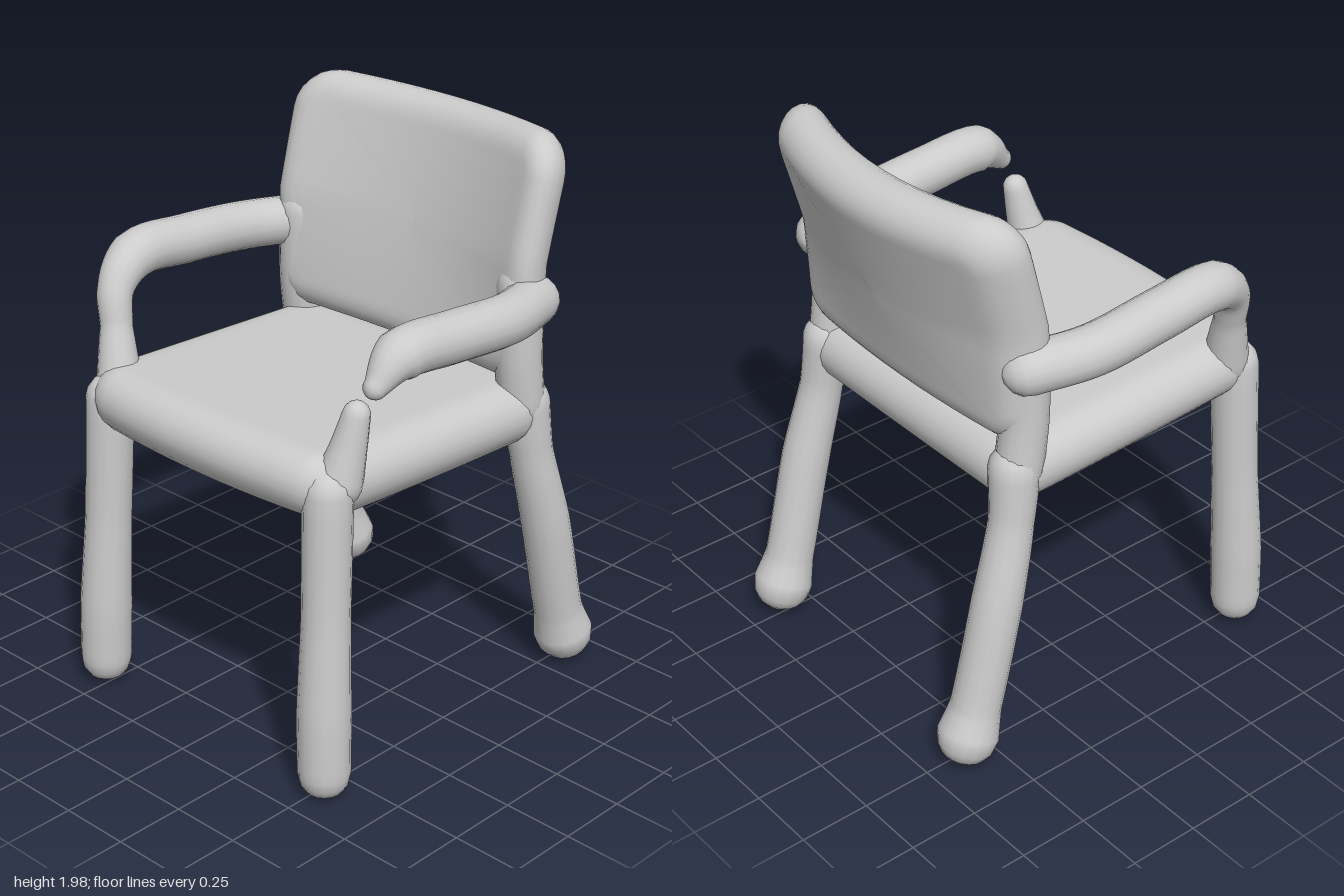
import * as THREE from 'three';

const material = new THREE.MeshStandardMaterial({ color: 0xcccccc });

// Closed skin over a list of rings that all have the same number of points
function skin(name, rings) {
  const n = rings[0].length, index = [];
  for (let i = 0; i < rings.length - 1; i++) {
    for (let j = 0; j < n; j++) {
      const k = (j + 1) % n;
      const a = i * n + j, b = i * n + k, c = a + n, d = b + n;
      index.push(a, b, c, b, d, c);
    }
  }
  const geometry = new THREE.BufferGeometry().setFromPoints(rings.flat());
  geometry.setIndex(index);
  geometry.computeVertexNormals();
  const mesh = new THREE.Mesh(geometry, material);
  mesh.name = name;
  return mesh;
}

// Round limb through points [x, y, z, radius], with domed ends; side mirrors x
function limb(name, side, pts) {
  const curve = new THREE.CatmullRomCurve3(pts.map(p => new THREE.Vector3(side * p[0], p[1], p[2])));
  const radiusAt = t => {
    const f = t * (pts.length - 1), i = Math.min(Math.floor(f), pts.length - 2);
    return THREE.MathUtils.lerp(pts[i][3], pts[i + 1][3], f - i);
  };
  const rings = [];
  const ring = (t, push, scale) => {
    const r = radiusAt(t), tangent = curve.getTangent(t);
    const centre = curve.getPoint(t).addScaledVector(tangent, push * r);
    const n = new THREE.Vector3(1, 0, 0).addScaledVector(tangent, -tangent.x).normalize();
    const b = tangent.clone().cross(n);
    rings.push(Array.from({ length: 16 }, (_, j) => {
      const a = j / 16 * Math.PI * 2;
      return centre.clone().addScaledVector(n, Math.cos(a) * r * scale)
        .addScaledVector(b, Math.sin(a) * r * scale);
    }));
  };
  const domes = [1.57, 1.2, 0.8, 0.4];
  domes.forEach(a => ring(0, -Math.sin(a), Math.cos(a)));
  const steps = (pts.length - 1) * 6;
  for (let i = 0; i <= steps; i++) ring(i / steps, 0, 1);
  domes.reverse().forEach(a => ring(1, Math.sin(a), Math.cos(a)));
  return skin(name, rings);
}

// Cushion-like slab: rounded outline, half-round rim, bent by warp(u, v, depth)
function slab(name, halfU, halfV, corner, rim, warp) {
  const rings = [];
  const ring = (inset, depth, scale) => {
    const U = halfU - inset, V = halfV - inset, c = corner - inset, out = [];
    for (let q = 0; q < 4; q++) {
      const su = q === 0 || q === 3 ? 1 : -1, sv = q < 2 ? 1 : -1;
      const arc = [];
      for (let k = 0; k <= 6; k++) {
        const a = (q + k / 6) * Math.PI / 2;
        arc.push([su * (U - c) + c * Math.cos(a), sv * (V - c) + c * Math.sin(a)]);
      }
      // straight run to the next corner
      const end = arc[6], next = q % 2 === 0 ? [-end[0], end[1]] : [end[0], -end[1]];
      for (let k = 1; k < 10; k++) {
        arc.push([0, 1].map(m => THREE.MathUtils.lerp(end[m], next[m], k / 10)));
      }
      out.push(...arc);
    }
    rings.push(out.map(([u, v]) => warp(u * scale, v * scale, depth)));
  };
  const face = [0.001, 0.2, 0.4, 0.6, 0.8, 0.93];
  face.forEach(s => ring(rim, -rim, s));
  for (let k = 0; k <= 10; k++) {
    const a = (k / 10 - 0.5) * Math.PI;
    ring(rim * (1 - Math.cos(a)), rim * Math.sin(a), 1);
  }
  face.reverse().forEach(s => ring(rim, rim, s));
  return skin(name, rings);
}

export function createModel() {
  const group = new THREE.Group();

  // Seat: front edge bowed, sloping down to the back, underside bulging
  group.add(slab('seat', 0.575, 0.55, 0.14, 0.11, (u, v, d) => {
    const bow = 1 - (u / 0.575) ** 2;
    const belly = d < 0 ? 0.055 * bow * (1 - (v / 0.55) ** 2) * (-d / 0.11) : 0;
    const z = 0.1 - v + (v < 0 ? 0.04 * bow * (-v / 0.55) : 0);
    return new THREE.Vector3(u, 1.06 + 0.05 * z + d - belly, z);
  }));

  // Backrest: leaning back, with the sides curving forward
  group.add(slab('backrest', 0.575, 0.405, 0.14, 0.09, (u, v, d) => {
    const t = THREE.MathUtils.clamp((v + 0.405) / 0.81, 0, 1);
    const side = (u / 0.575) ** 2;
    const z = -0.37 - 0.2 * t ** 1.2 + side * (0.03 + 0.09 * Math.min(1, 2 * t)) + d;
    const y = 1.565 + v + 0.35 * d * t + 0.02 * side * t;
    return new THREE.Vector3(u, y, z);
  }));

  for (const side of [1, -1]) {
    group.add(limb('frontLeg', side, [
      [0.53, 0.09, 0.615, 0.088], [0.525, 0.3, 0.61, 0.09],
      [0.515, 0.65, 0.59, 0.08], [0.505, 1.08, 0.57, 0.082]]));

    group.add(limb('backLeg', side, [
      [0.53, 0.11, -0.6, 0.105], [0.53, 0.22, -0.565, 0.086],
      [0.53, 0.6, -0.475, 0.085], [0.515, 0.88, -0.405, 0.075],
      [0.5, 1.07, -0.38, 0.085]]));

    group.add(limb('backPost', side, [
      [0.5, 1.07, -0.36, 0.08], [0.5, 1.25, -0.34, 0.08], [0.5, 1.5, -0.34, 0.08]]));
  }

  // Right arm runs on into its front post
  const arm = [[0.54, 1.45, -0.36, 0.085], [0.6, 1.465, -0.15, 0.085],
    [0.605, 1.49, 0.12, 0.085], [0.6, 1.5, 0.36, 0.083]];
  group.add(limb('rightArm', -1, [...arm,
    [0.575, 1.42, 0.465, 0.062], [0.545, 1.3, 0.495, 0.055], [0.5, 1.1, 0.53, 0.08]]));

  // Left arm ends short of its post stub
  group.add(limb('leftArm', 1, [...arm, [0.6, 1.43, 0.46, 0.04]]));
  group.add(limb('leftArmStub', 1, [
    [0.51, 1.1, 0.53, 0.08], [0.53, 1.22, 0.505, 0.06], [0.545, 1.33, 0.485, 0.045]]));

  return group;
}
